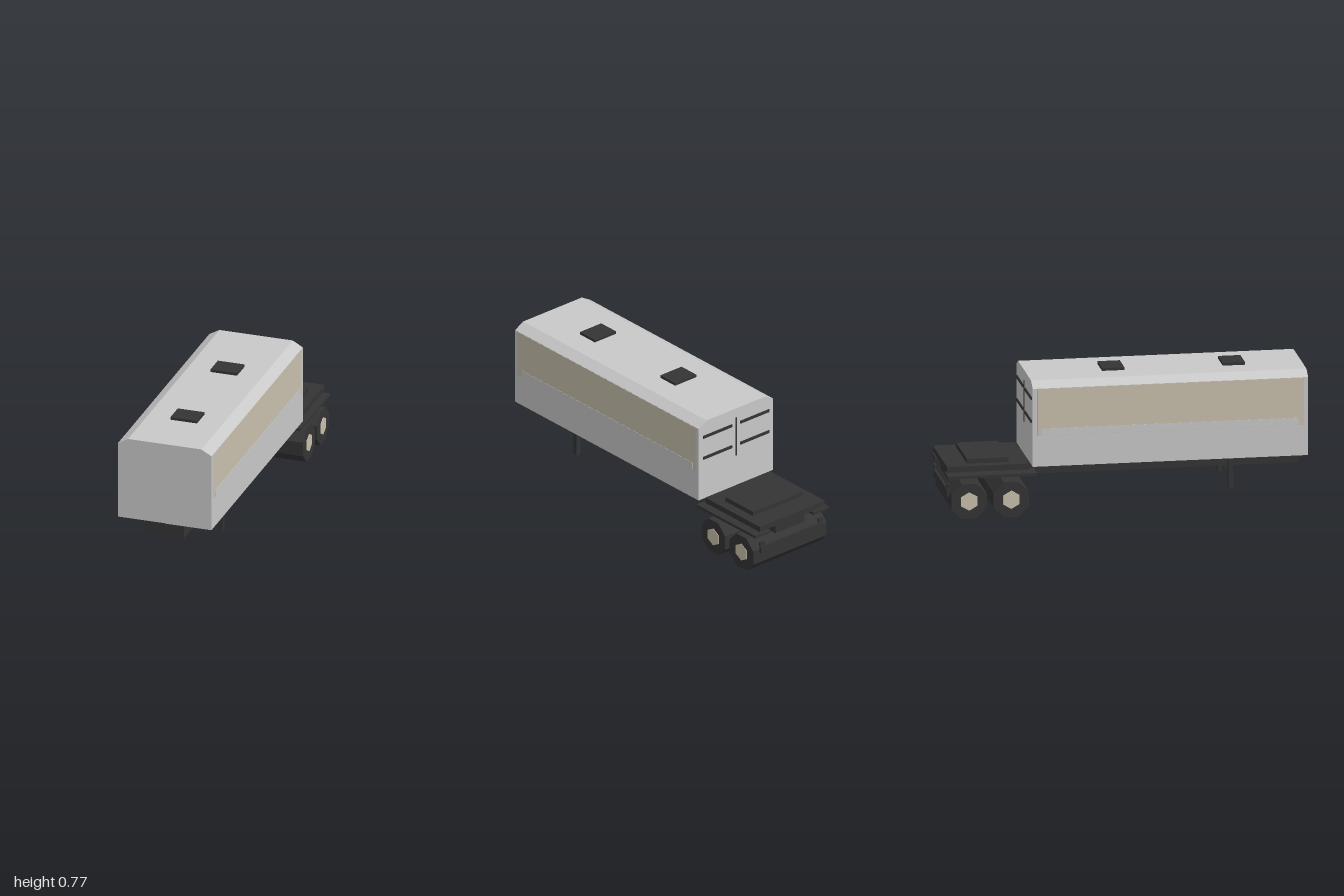
import * as THREE from 'three';

const mat = (name, color) => {
  const m = new THREE.MeshStandardMaterial({ color });
  m.name = name;
  return m;
};

export function createModel() {
  const grey = mat('lightGrey', 0xc9c9c9);
  const beige = mat('beige', 0xc9c1ae);
  const dark = mat('charcoal', 0x343434);
  const model = new THREE.Group();
  model.name = 'boxTrailer';

  const add = (name, geometry, material) => {
    const mesh = new THREE.Mesh(geometry, material);
    mesh.name = name;
    model.add(mesh);
    return mesh;
  };
  // Box given by its limits on each axis
  const box = (name, material, x0, x1, y0, y1, z0, z1) => {
    const mesh = add(name, new THREE.BoxGeometry(x1 - x0, y1 - y0, z1 - z0), material);
    mesh.position.set((x0 + x1) / 2, (y0 + y1) / 2, (z0 + z1) / 2);
    return mesh;
  };
  // The same box on both sides
  const pair = (name, material, x0, x1, ...rest) => {
    box(name + 'Left', material, x0, x1, ...rest);
    box(name + 'Right', material, -x1, -x0, ...rest);
  };

  // Cargo body with chamfered roof edges
  const section = new THREE.Shape([
    [-0.271, 0.28], [0.271, 0.28], [0.271, 0.722],
    [0.213, 0.755], [-0.213, 0.755], [-0.271, 0.722],
  ].map(([x, y]) => new THREE.Vector2(x, y)));
  const bodyGeometry = new THREE.ExtrudeGeometry(section, { depth: 1.53, bevelEnabled: false });
  bodyGeometry.translate(0, 0, -0.53);
  add('cargoBody', bodyGeometry, grey);
  box('floorUnderside', beige, 0, 0.271, 0.278, 0.281, -0.53, 1);

  // Side panels and lower rails
  pair('sidePanel', beige, 0.268, 0.2725, 0.453, 0.72, -0.505, 0.978);
  pair('sideRail', grey, 0.268, 0.274, 0.455, 0.495, -0.48, 0.945);

  // Roof hatches
  for (const z of [-0.05, 0.62]) box('roofHatch', dark, -0.077, 0.077, 0.754, 0.77, z - 0.062, z + 0.062);

  // Rear doors: centre seam and horizontal bars
  box('doorSeam', dark, -0.003, 0.003, 0.465, 0.7, -0.534, -0.529);
  for (const y of [0.53, 0.66]) pair('doorBar', dark, 0.03, 0.24, y - 0.008, y + 0.008, -0.536, -0.529);

  // Chassis and landing legs
  box('chassisBeam', dark, -0.105, 0.105, 0.197, 0.279, -0.98, 0.978);
  pair('landingLeg', dark, 0.17, 0.199, 0.09, 0.28, 0.57, 0.597);

  // Rear deck, raised plate and mudguards
  box('rearDeck', dark, -0.235, 0.235, 0.258, 0.29, -1, -0.545);
  box('deckPlate', dark, -0.18, 0.18, 0.288, 0.316, -0.88, -0.65);
  pair('mudguard', dark, 0.155, 0.266, 0.228, 0.243, -1, -0.505);

  // Rear bumper with lamps above
  box('bumper', dark, -0.225, 0.225, 0.12, 0.16, -0.998, -0.985);
  pair('rearLamp', dark, 0.195, 0.23, 0.165, 0.19, -0.998, -0.985);

  // Octagonal full-width wheels with hexagonal hubs
  const wheelGeometry = new THREE.CylinderGeometry(0.1066, 0.1066, 0.532, 8).toNonIndexed();
  wheelGeometry.rotateY(Math.PI / 8).rotateZ(Math.PI / 2).computeVertexNormals();
  const hubGeometry = new THREE.CylinderGeometry(0.052, 0.052, 0.537, 6).toNonIndexed();
  hubGeometry.rotateY(Math.PI / 2).rotateZ(Math.PI / 2).computeVertexNormals();
  for (const z of [-0.648, -0.882]) {
    add('wheels', wheelGeometry, dark).position.set(0, 0.0985, z);
    add('hubs', hubGeometry, beige).position.set(0, 0.0985, z);
  }
  return model;
}
